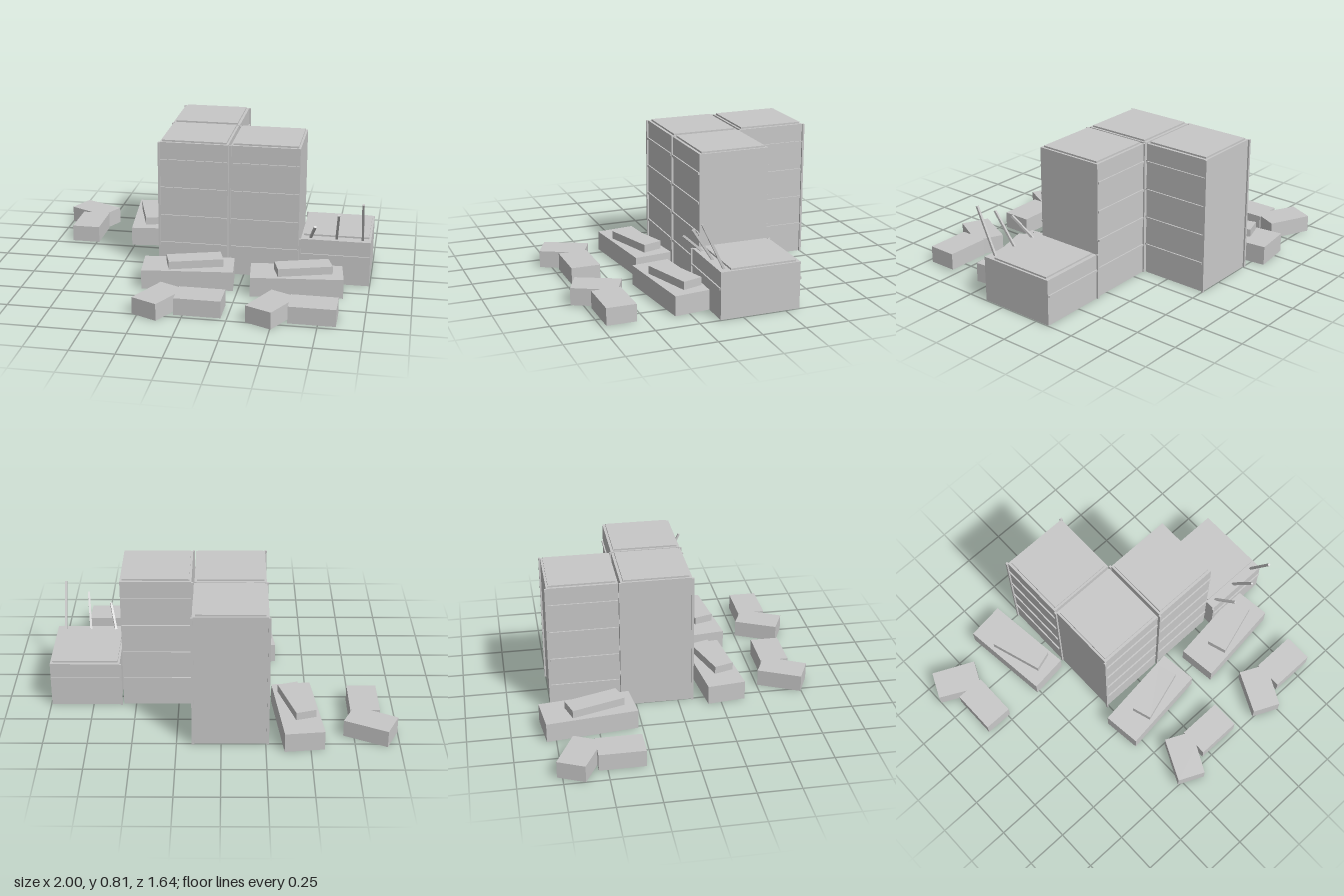
import * as THREE from 'three';

const grey = new THREE.MeshStandardMaterial({ color: 0xc8c8c8 });
grey.name = 'light grey';

function add(parent, name, geometry, x = 0, y = 0, z = 0, rotY = 0) {
  const mesh = new THREE.Mesh(geometry, grey);
  mesh.name = name;
  mesh.position.set(x, y, z);
  mesh.rotation.y = rotY;
  parent.add(mesh);
  return mesh;
}
const box = (w, h, d) => new THREE.BoxGeometry(w, h, d);

// Block with a raised top panel, thin ledges front and back, and a post at one edge
function block(name, height, depth, ledges, panelZ = 0) {
  const g = new THREE.Group();
  g.name = name;
  const width = 0.405;
  add(g, 'body', box(width, height, depth), 0, height / 2, 0);
  add(g, 'topPanel', box(0.38, 0.01, 0.38), 0, height + 0.005, panelZ);
  for (const side of [1, -1]) {
    const z = side * (depth / 2 + 0.003);
    for (const y of ledges) add(g, 'ledge', box(width - 0.008, 0.013, 0.01), 0, y, z);
    add(g, 'edgePost', box(0.012, height, 0.014), -width / 2 - 0.004, height / 2, z);
  }
  return g;
}

// Low slab with a smaller slab resting askew on top
function steppedSlab() {
  const g = new THREE.Group();
  g.name = 'steppedSlab';
  add(g, 'lowerSlab', box(0.533, 0.115, 0.226), 0, 0.0575, 0, 0.113);
  add(g, 'upperSlab', box(0.32, 0.047, 0.12), 0.038, 0.1385, -0.004, 0.302);
  return g;
}

// Low bent block: plan outline in x and z, raised upward
function bentBlock() {
  const plan = [
    [-0.165, 0.505], [-0.05, 0.56], [-0.05, 0.55], [0.215, 0.55], [0.215, 0.72],
    [-0.05, 0.72], [-0.05, 0.66], [-0.13, 0.815], [-0.28, 0.745],
  ];
  const shape = new THREE.Shape(plan.map(([x, z]) => new THREE.Vector2(x, -z)));
  const geometry = new THREE.ExtrudeGeometry(shape, { depth: 0.1, bevelEnabled: false });
  geometry.rotateX(-Math.PI / 2);
  const g = new THREE.Group();
  g.name = 'bentBlock';
  add(g, 'bentBody', geometry);
  return g;
}

function place(parent, object, x, z, rotY = 0) {
  object.position.set(x, 0, z);
  object.rotation.y = rotY;
  parent.add(object);
}

export function createModel() {
  const model = new THREE.Group();
  model.name = 'blockCluster';
  const quarter = -Math.PI / 2;

  // Towers and the low block
  const floors = [0.175, 0.346, 0.519, 0.69];
  place(model, block('leftTower', 0.8, 0.412, floors), -0.052, -0.123);
  place(model, block('middleTower', 0.8, 0.412, floors), 0.37, -0.123);
  place(model, block('rearTower', 0.8, 0.412, floors), -0.052, -0.545, quarter);
  place(model, block('lowBlock', 0.27, 0.465, [0.175], -0.02), 0.793, -0.103);

  // Leaning rods on the low block
  const rods = [
    [[0.643, 0.265, 0.092], [0.68, 0.382, 0.218]],
    [[0.795, 0.265, 0.092], [0.813, 0.46, 0.218]],
    [[0.948, 0.265, 0.092], [0.948, 0.533, 0.218]],
  ];
  for (const [a, b] of rods) {
    const from = new THREE.Vector3(...a), to = new THREE.Vector3(...b);
    const rod = add(model, 'rod', box(0.013, 0.013, from.distanceTo(to)));
    rod.position.copy(from).add(to).multiplyScalar(0.5);
    rod.lookAt(to);
  }

  // Stepped slabs
  place(model, steppedSlab(), -0.053, 0.253);
  place(model, steppedSlab(), 0.583, 0.253);
  place(model, steppedSlab(), -0.435, -0.552, quarter);

  // Bent blocks
  place(model, bentBlock(), 0, 0);
  place(model, bentBlock(), 0.635, 0);
  place(model, bentBlock(), -0.185, -0.5, quarter);

  return model;
}
